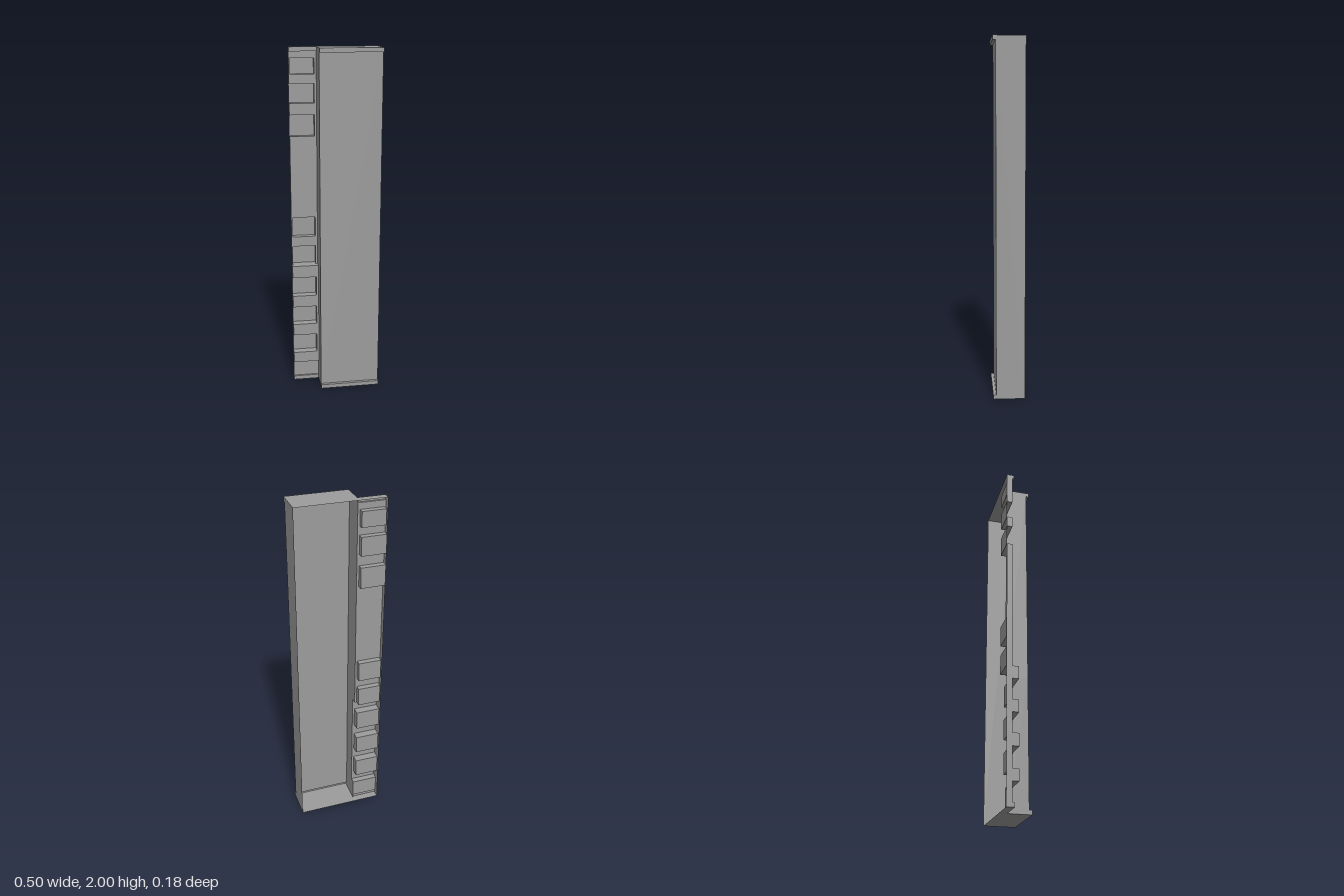
import * as THREE from 'three';
import { mergeGeometries } from 'three/addons/utils/BufferGeometryUtils.js';

const material = new THREE.MeshStandardMaterial({ color: 0x9c9c9c, side: THREE.DoubleSide, flatShading: true });

// Axis-aligned sheet between two opposite corners that share one coordinate
function panel(a, b) {
  const k = [0, 1, 2].find((n) => a[n] === b[n]);
  const i = (k + 1) % 3, j = (k + 2) % 3;
  const corner = (p, q) => {
    const c = [...a];
    c[i] = p[i];
    c[j] = q[j];
    return c;
  };
  const g = new THREE.BufferGeometry();
  const points = [corner(a, a), corner(b, a), corner(b, b), corner(a, b)].flat();
  g.setAttribute('position', new THREE.Float32BufferAttribute(points, 3));
  g.setIndex([0, 1, 2, 0, 2, 3]);
  g.computeVertexNormals();
  return g;
}

const LEFT = -0.25, STEP = -0.098, RIGHT = 0.25, H = 2, LIP = 0.024;
const BACK = -0.089, FRONT = 0.072, LIP_FRONT = 0.089;
const SHEET = -0.056, SHEET_LIP = -0.045;       // side flange
const RAISED = -0.021, RAISED_FLOOR = -0.068;   // raised section of the flange
const POCKET_L = -0.243, POCKET_R = -0.11;
const RAISED_Y = [0.13, 0.75];

// Pockets from bottom to top: [bottom, top, has outer wall]
const POCKETS = [
  [0.195, 0.31, false], [0.38, 0.492, false], [0.562, 0.678, false],
  [0.75, 0.862, true], [0.92, 1.037, true],
  [1.51, 1.63, false], [1.695, 1.802, false], [1.853, 1.94, true],
];

export function createModel() {
  const group = new THREE.Group();
  const add = (name, panels) => {
    const mesh = new THREE.Mesh(mergeGeometries(panels), material);
    mesh.name = name;
    group.add(mesh);
  };

  // Front face and side walls of the open-backed tray
  add('frontPanel', [panel([STEP, LIP, FRONT], [RIGHT, H - LIP, FRONT])]);
  add('outerWall', [panel([RIGHT, 0, BACK], [RIGHT, H, FRONT])]);
  add('stepWall', [
    panel([STEP, 0, SHEET], [STEP, RAISED_Y[0], FRONT]),
    panel([STEP, RAISED_Y[0], RAISED], [STEP, RAISED_Y[1], FRONT]),
    panel([STEP, RAISED_Y[1], SHEET], [STEP, H, FRONT]),
  ]);

  // End caps with a hollow lip along their front edges
  for (const [name, y, inner] of [['bottomEnd', 0, LIP], ['topEnd', H, H - LIP]]) {
    add(name, [
      panel([STEP, y, BACK], [RIGHT, y, LIP_FRONT]),
      panel([LEFT, y, BACK], [STEP, y, SHEET_LIP]),
      panel([STEP, inner, FRONT], [RIGHT, inner, LIP_FRONT]),
      panel([STEP, y, LIP_FRONT], [RIGHT, inner, LIP_FRONT]),
      panel([STEP, y, FRONT], [STEP, inner, LIP_FRONT]),
      panel([RIGHT, y, FRONT], [RIGHT, inner, LIP_FRONT]),
      panel([LEFT, inner, SHEET], [STEP, inner, SHEET_LIP]),
      panel([LEFT, y, SHEET_LIP], [STEP, inner, SHEET_LIP]),
      panel([LEFT, y, BACK], [LEFT, inner, SHEET_LIP]),
    ]);
  }

  // Flange: full-width bands with a folded outer edge between the pockets
  const flange = [];
  const band = (y0, y1, z) => {
    flange.push(panel([LEFT, y0, z], [STEP, y1, z]));
    flange.push(panel([LEFT, y0, BACK], [LEFT, y1, z]));
  };
  let y = LIP;
  for (const [y0, y1, closed] of POCKETS) {
    // Split the band where it crosses a change of level
    const cuts = [y, ...RAISED_Y.filter((c) => c > y && c < y0), y0];
    for (let n = 0; n + 1 < cuts.length; n++) {
      const mid = (cuts[n] + cuts[n + 1]) / 2;
      band(cuts[n], cuts[n + 1], mid > RAISED_Y[0] && mid < RAISED_Y[1] ? RAISED : SHEET);
    }
    y = y1;

    // Pocket floor, walls and the narrow margins beside it
    const up = y1 < RAISED_Y[1];
    const z = up ? RAISED : SHEET, floor = up ? RAISED_FLOOR : BACK;
    const edge = closed ? POCKET_L : LEFT;
    const parts = [
      panel([edge, y0, floor], [POCKET_R, y1, floor]),
      panel([edge, y0, floor], [POCKET_R, y0, z]),
      panel([edge, y1, floor], [POCKET_R, y1, z]),
      panel([POCKET_R, y0, floor], [POCKET_R, y1, z]),
      panel([POCKET_R, y0, z], [STEP, y1, z]),
    ];
    if (closed) {
      parts.push(
        panel([POCKET_L, y0, floor], [POCKET_L, y1, z]),
        panel([LEFT, y0, z], [POCKET_L, y1, z]),
      );
    }
    // The folded edge runs on past closed and raised pockets
    if (closed || up) parts.push(panel([LEFT, y0, BACK], [LEFT, y1, SHEET]));
    add('pocket', parts);
  }
  band(y, H - LIP, SHEET);

  // Ledges where the raised section meets the rest of the flange
  for (const c of RAISED_Y) flange.push(panel([LEFT, c, SHEET], [STEP, c, RAISED]));
  add('sideFlange', flange);

  return group;
}
